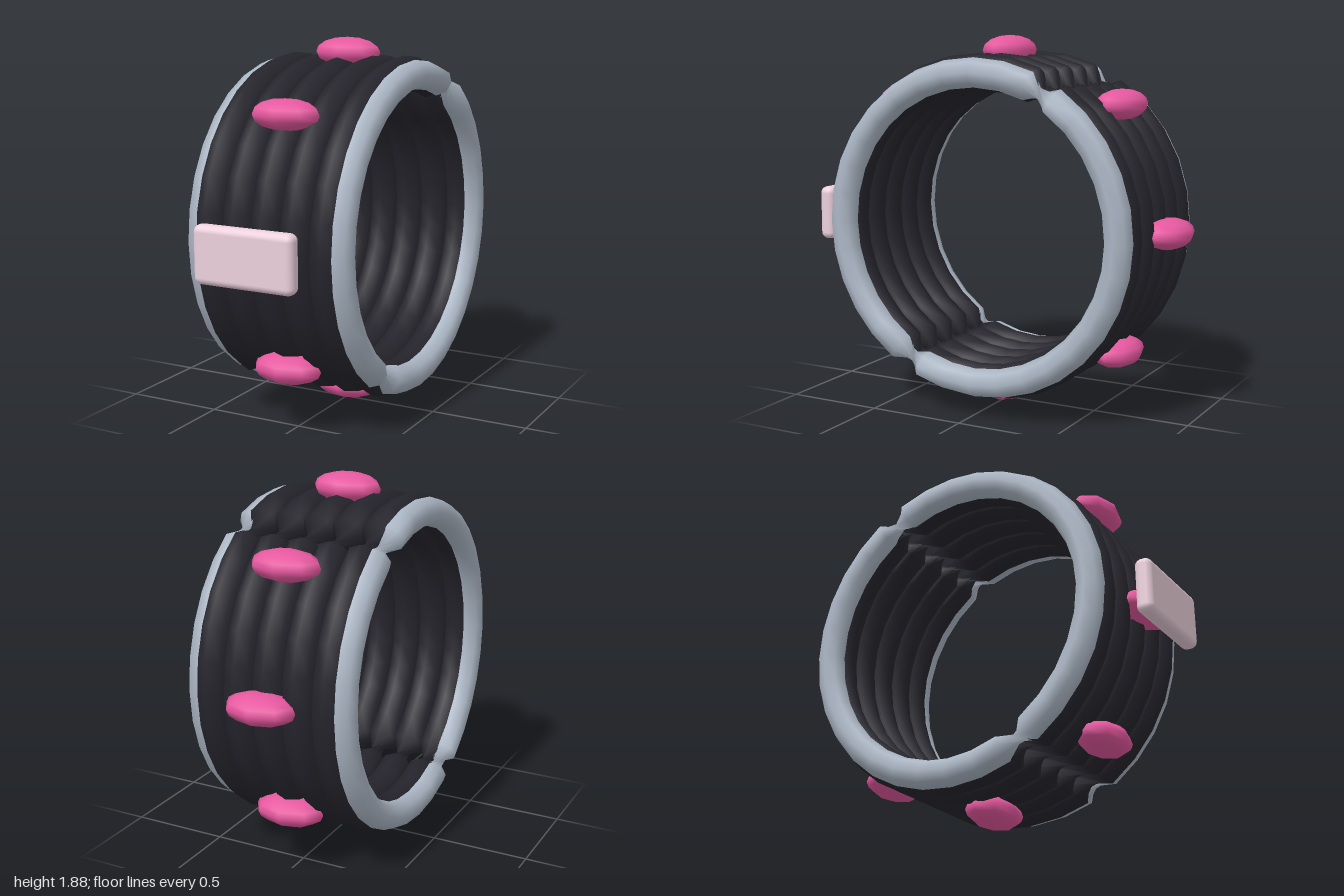
import * as THREE from 'three';
import { RoundedBoxGeometry } from 'three/addons/geometries/RoundedBoxGeometry.js';

const CENTRE_Y = 0.94, CENTRE_Z = -0.015;

// Closed tube around the x axis; half of its rings are turned by 180 degrees,
// which pinches the tube at the two places where the halves meet.
function pinchedRing(major, minor, segments = 32, sides = 8) {
  const pos = [], index = [];
  for (let i = 0; i < segments; i++) {
    const t = (i / segments) * Math.PI * 2;
    const turn = i >= 3 && i <= 18 ? Math.PI : 0;
    for (let j = 0; j < sides; j++) {
      const phi = (j / sides) * Math.PI * 2 + turn;
      const r = major + minor * Math.cos(phi);
      pos.push(minor * Math.sin(phi), r * Math.cos(t), -r * Math.sin(t));
      const a = i * sides + j, b = i * sides + (j + 1) % sides;
      const next = ((i + 1) % segments) * sides;
      const c = next + j, d = next + (j + 1) % sides;
      index.push(a, b, c, b, d, c);
    }
  }
  const geo = new THREE.BufferGeometry();
  geo.setAttribute('position', new THREE.Float32BufferAttribute(pos, 3));
  geo.setIndex(index);
  geo.computeVertexNormals();
  return geo;
}

export function createModel() {
  const model = new THREE.Group();
  model.name = 'bracelet';
  const material = (color) => new THREE.MeshStandardMaterial({ color });
  const black = material(0x25242c), silver = material(0xabb6c4);
  const pink = material(0xe6589f), pale = material(0xecd0dc);

  const add = (name, geo, mat, x, y, z) => {
    const mesh = new THREE.Mesh(geo, mat);
    mesh.name = name;
    mesh.position.set(x, y, z);
    model.add(mesh);
    return mesh;
  };

  // Five dark bands side by side
  const bandGeo = pinchedRing(0.768, 0.088);
  for (let i = -2; i <= 2; i++) add('band', bandGeo, black, i * 0.155, CENTRE_Y, CENTRE_Z);

  // Metal rim on each side
  const rimGeo = pinchedRing(0.765, 0.072);
  for (const s of [-1, 1]) add(s > 0 ? 'leftRim' : 'rightRim', rimGeo, silver, s * 0.368, CENTRE_Y, CENTRE_Z);

  // Eight oval studs, all with the same orientation
  const studGeo = new THREE.SphereGeometry(1, 8, 8).scale(0.182, 0.075, 0.12);
  for (let i = 0; i < 8; i++) {
    const a = (i * Math.PI) / 4;
    add('stud', studGeo, pink, 0, CENTRE_Y + 0.865 * Math.cos(a), CENTRE_Z + 0.865 * Math.sin(a));
  }

  // Front plate
  add('frontPlate', new RoundedBoxGeometry(0.525, 0.28, 0.085, 3, 0.035), pale, 0, CENTRE_Y, 0.9575);

  return model;
}
